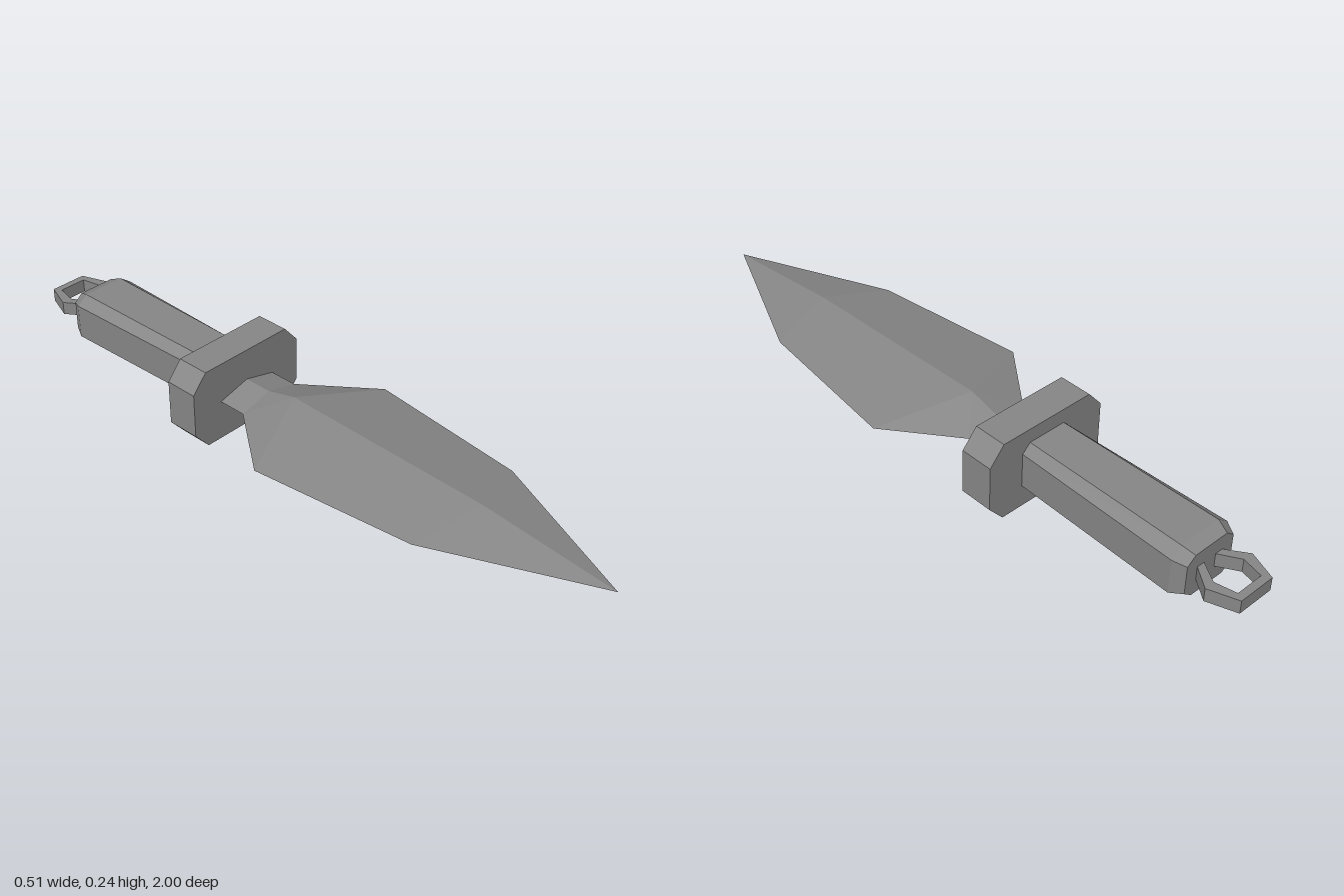
import * as THREE from 'three';

const material = new THREE.MeshStandardMaterial({ color: 0x878787, flatShading: true });
const MID = 0.12; // height of the centre plane

function addMesh(group, name, geometry) {
  const mesh = new THREE.Mesh(geometry, material);
  mesh.name = name;
  mesh.position.y = MID;
  group.add(mesh);
}

function fromTriangles(points) {
  const geometry = new THREE.BufferGeometry();
  geometry.setAttribute('position', new THREE.Float32BufferAttribute(points.flat(), 3));
  geometry.computeVertexNormals();
  return geometry;
}

// Chamfered rectangle: half width w, half height h, inner corners at cw and ch
function octagon({ z, w, h, cw, ch }) {
  return [[w, -ch], [w, ch], [cw, h], [-cw, h], [-w, ch], [-w, -ch], [-cw, -h], [cw, -h]]
    .map(([x, y]) => [x, y, z]);
}

// Joins octagonal sections from front to back and caps both ends
function loft(sections) {
  const rings = sections.map(octagon);
  const tris = [];
  for (let r = 0; r < rings.length - 1; r++) {
    const a = rings[r], b = rings[r + 1];
    for (let i = 0; i < 8; i++) {
      const j = (i + 1) % 8;
      tris.push(a[i], b[i], b[j], a[i], b[j], a[j]);
    }
  }
  const first = rings[0], last = rings[rings.length - 1];
  for (let i = 1; i < 7; i++) {
    tris.push(first[0], first[i], first[i + 1], last[0], last[i + 1], last[i]);
  }
  return fromTriangles(tris);
}

// One quarter of the blade and its neck, mirrored sideways and top to bottom
function bladeGeometry() {
  const ridgeBack = [0, 0.051, -0.04], ridgeFront = [0, 0.037, 0.6], tip = [0, 0, 1];
  const shoulder = [0.255, 0, 0.065], edge = [0.2, 0, 0.545];
  const neckTop = [0, 0.026, -0.135], neckSide = [0.1, 0, -0.135];
  const rootTop = [0, 0.026, -0.23], rootSide = [0.1, 0, -0.23];
  const quarter = [
    [ridgeBack, ridgeFront, edge], [ridgeBack, edge, shoulder], [ridgeFront, tip, edge],
    [ridgeBack, shoulder, neckSide], [ridgeBack, neckSide, neckTop],
    [neckTop, neckSide, rootSide], [neckTop, rootSide, rootTop],
  ];
  const tris = [];
  for (const sx of [1, -1]) {
    for (const sy of [1, -1]) {
      for (const tri of quarter) {
        const t = tri.map(([x, y, z]) => [x * sx, y * sy, z]);
        if (sx * sy < 0) t.reverse();
        tris.push(...t);
      }
    }
  }
  return fromTriangles(tris);
}

// Angular loop whose two ends run into the handle
function loopGeometry() {
  const outer = [[0.038, -0.85], [0.086, -0.918], [0.056, -1]];
  const inner = [[0.042, -0.978], [0.055, -0.917], [0.015, -0.85]];
  const mirror = (list) => list.map(([x, z]) => [-x, z]).reverse();
  const outline = [...outer, ...mirror(outer), ...mirror(inner), ...inner];
  const shape = new THREE.Shape(outline.map(([x, z]) => new THREE.Vector2(x, z)));
  return new THREE.ExtrudeGeometry(shape, { depth: 0.04, bevelEnabled: false })
    .rotateX(Math.PI / 2).translate(0, 0.02, 0);
}

export function createModel() {
  const group = new THREE.Group();
  group.name = 'dagger';

  addMesh(group, 'blade', bladeGeometry());

  // Chamfered guard plate
  const guard = { w: 0.198, h: 0.12, cw: 0.152, ch: 0.067 };
  addMesh(group, 'guard', loft([{ z: -0.22, ...guard }, { z: -0.32, ...guard }]));

  // Grip widens towards a bevelled end
  addMesh(group, 'handle', loft([
    { z: -0.31, w: 0.085, h: 0.077, cw: 0.06, ch: 0.052 },
    { z: -0.825, w: 0.1, h: 0.077, cw: 0.066, ch: 0.052 },
    { z: -0.86, w: 0.083, h: 0.064, cw: 0.056, ch: 0.043 },
  ]));

  addMesh(group, 'endLoop', loopGeometry());
  return group;
}
